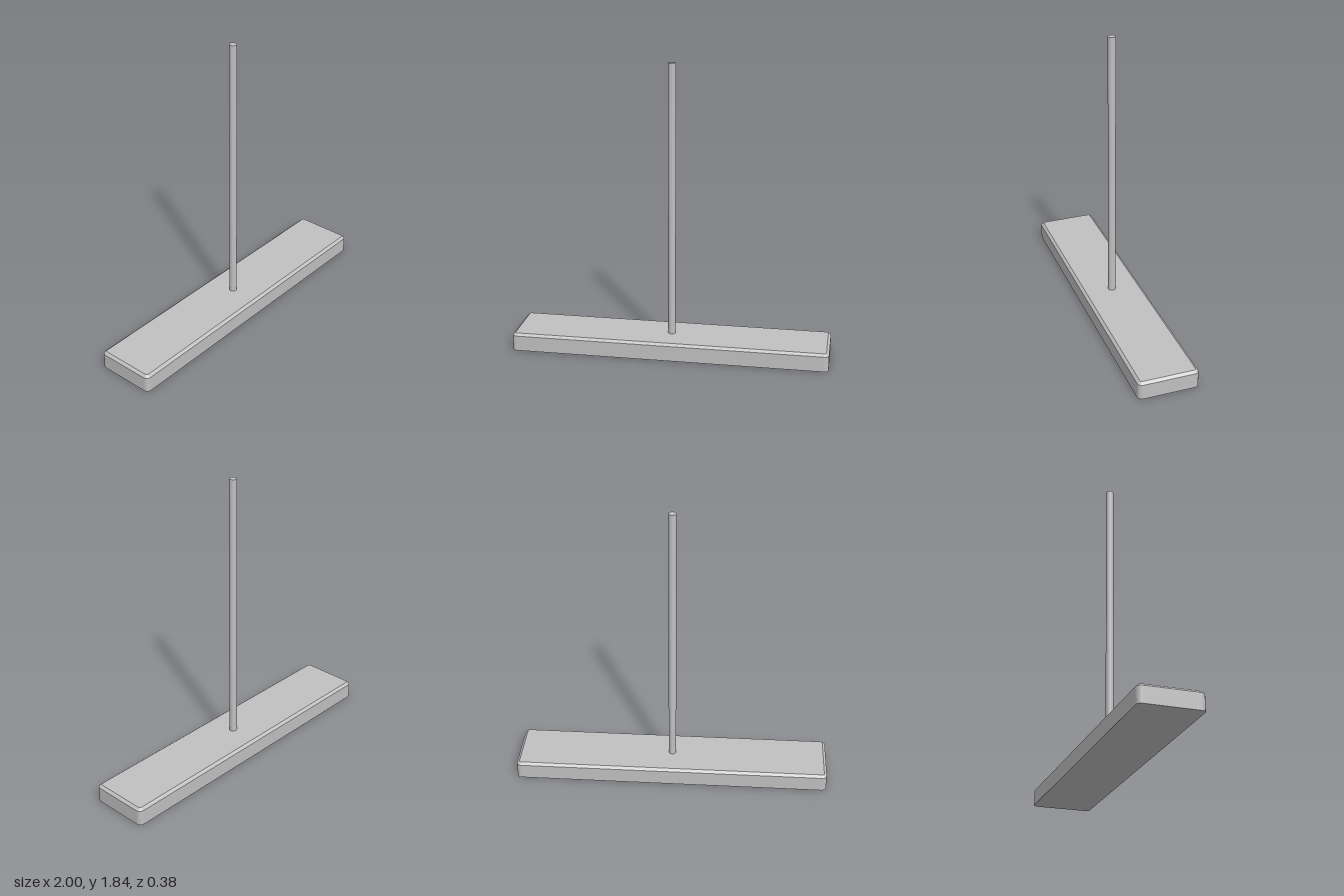
import * as THREE from 'three';

// Rounded rectangle outline at height y, running counter-clockwise seen from above
function outline(halfX, halfZ, radius, y, steps = 4) {
  const points = [];
  const signs = [[1, 1], [-1, 1], [-1, -1], [1, -1]];
  signs.forEach(([sx, sz], corner) => {
    for (let i = 0; i <= steps; i++) {
      const a = (corner + i / steps) * Math.PI / 2;
      points.push([
        sx * (halfX - radius) + radius * Math.cos(a),
        y,
        -(sz * (halfZ - radius) + radius * Math.sin(a)),
      ]);
    }
  });
  return points;
}

// Closed solid through stacked convex outlines, bottom to top
function loft(rings) {
  const n = rings[0].length;
  const top = (rings.length - 1) * n;
  const index = [];
  for (let r = 0; r < rings.length - 1; r++) {
    for (let i = 0; i < n; i++) {
      const a = r * n + i, b = r * n + (i + 1) % n;
      index.push(a, b, b + n, a, b + n, a + n);
    }
  }
  for (let i = 1; i < n - 1; i++) {
    index.push(0, i + 1, i, top, top + i, top + i + 1);
  }
  const geometry = new THREE.BufferGeometry();
  geometry.setAttribute('position', new THREE.Float32BufferAttribute(rings.flat(2), 3));
  geometry.setIndex(index);
  const flat = geometry.toNonIndexed();
  flat.computeVertexNormals();
  return flat;
}

export function createModel() {
  const model = new THREE.Group();
  model.name = 'postOnBase';
  const grey = new THREE.MeshStandardMaterial({ color: 0xc0c0c0, flatShading: true });
  grey.name = 'light grey';

  // Long slab with rounded corners and a chamfered top rim
  const base = new THREE.Mesh(loft([
    outline(1, 0.19, 0.028, 0),
    outline(1, 0.19, 0.028, 0.098),
    outline(0.983, 0.173, 0.011, 0.113),
  ]), grey);
  base.name = 'base';

  // Upright pole
  const bottom = 0.1, height = 1.84 - bottom;
  const pole = new THREE.Mesh(new THREE.CylinderGeometry(0.024, 0.024, height, 16), grey);
  pole.position.y = bottom + height / 2;
  pole.name = 'pole';

  model.add(base, pole);
  return model;
}
